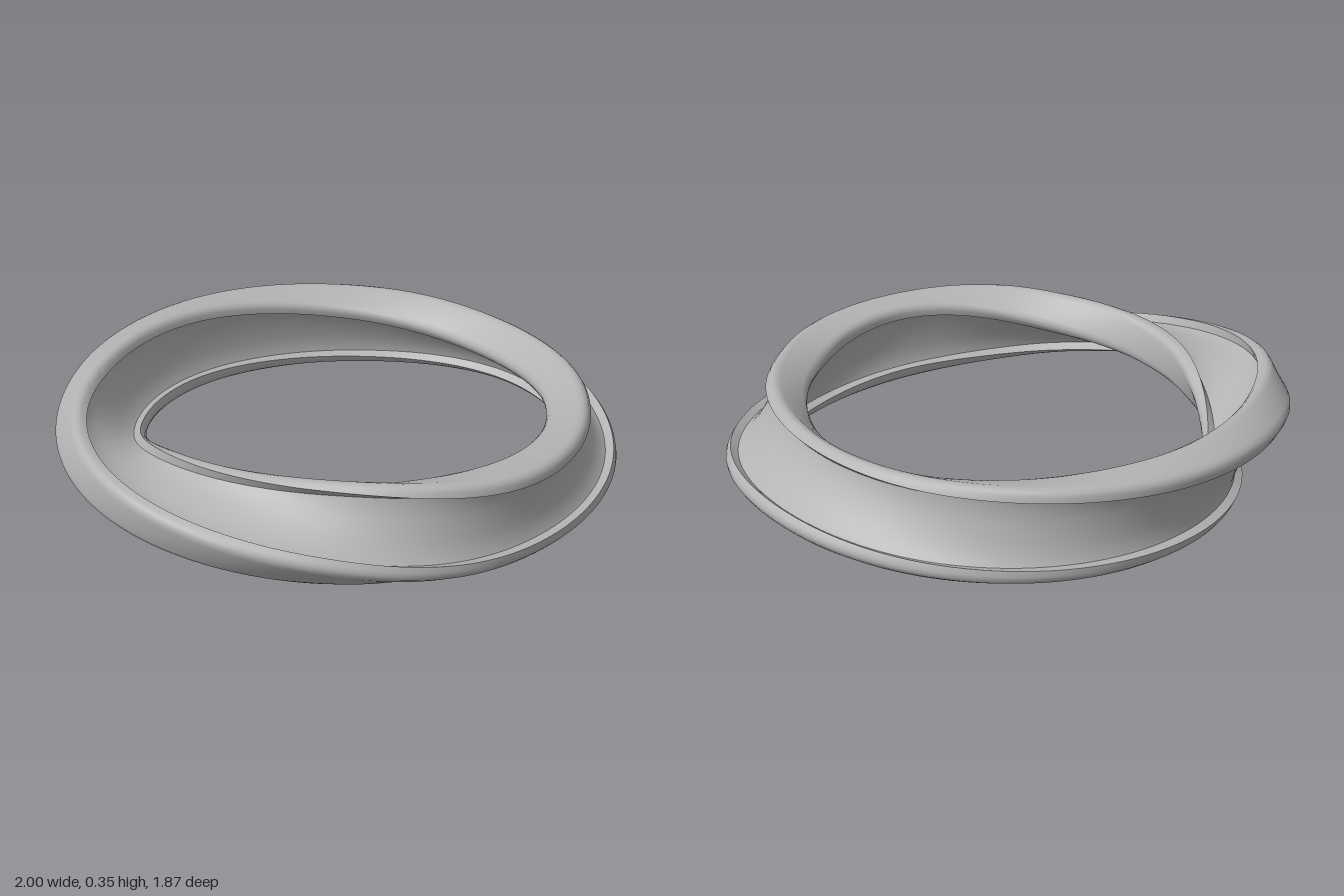
import * as THREE from 'three';
import { toCreasedNormals } from 'three/addons/utils/BufferGeometryUtils.js';

// Ring keys every 45 degrees, from the right side (-x) round by the back:
// centre radius, centre height, section angle in degrees
const KEYS = [
  [0.845, 0.222, 0],
  [0.828, 0.192, 56],
  [0.848, 0.185, 85],
  [0.846, 0.175, 114],
  [0.848, 0.180, 135],
  [0.845, 0.172, 117],
  [0.845, 0.182, 94],
  [0.826, 0.208, 139],
];

// Key lookup that wraps round the ring, adding the half turn of the twist
function key(i, c) {
  const n = KEYS.length;
  const turn = Math.floor(i / n);
  return KEYS[i - turn * n][c] + (c === 2 ? turn * 180 : 0);
}

// Smooth interpolation between the keys
function sample(s, c) {
  const i = Math.floor(s), f = s - i;
  const [a, b, d, e] = [key(i - 1, c), key(i, c), key(i + 1, c), key(i + 2, c)];
  return b + 0.5 * f * (d - a + f * (2 * a - 5 * b + 4 * d - e + f * (3 * (b - d) + e - a)));
}

// I-beam section: one quarter, mirrored to a half, then turned to the whole
function beamSection() {
  const quarter = [
    [0.155, 0], [0.155, 0.045], [0.151, 0.062], [0.141, 0.073], [0.128, 0.077],
    [0.108, 0.077], [0.106, 0.046], [0.085, 0.037], [0.04, 0.030], [0, 0.029],
  ];
  const mirrored = quarter.slice(1, -1).reverse().map(([u, v]) => [-u, v]);
  const half = [...quarter, ...mirrored];
  return [...half, ...half.map(([u, v]) => [-u, -v])];
}

// Sweep the section round the ring while it turns by half a revolution
function twistedRing(steps) {
  const section = beamSection(), m = section.length;
  const positions = [], index = [];
  for (let i = 0; i <= steps; i++) {
    const s = (i / steps) * KEYS.length;
    const t = (i / steps) * Math.PI * 2;
    const radius = sample(s, 0), height = sample(s, 1);
    const angle = THREE.MathUtils.degToRad(sample(s, 2));
    const ca = Math.cos(angle), sa = Math.sin(angle);
    for (const [u, v] of section) {
      const r = radius + u * ca - v * sa;
      positions.push(-r * Math.cos(t), height + u * sa + v * ca, -r * Math.sin(t));
    }
  }
  for (let i = 0; i < steps; i++) {
    for (let j = 0; j < m; j++) {
      const a = i * m + j, b = i * m + (j + 1) % m;
      index.push(a, b, a + m, b, b + m, a + m);
    }
  }
  const geometry = new THREE.BufferGeometry();
  geometry.setAttribute('position', new THREE.Float32BufferAttribute(positions, 3));
  geometry.setIndex(index);
  return toCreasedNormals(geometry, 0.75);
}

export function createModel() {
  const group = new THREE.Group();
  group.name = 'twistedBeamRing';
  const grey = new THREE.MeshStandardMaterial({ color: 0xb3b3b3 });
  grey.name = 'grey';
  const ring = new THREE.Mesh(twistedRing(240), grey);
  ring.name = 'ring';
  group.add(ring);

  // Stand on the ground, centred
  const box = new THREE.Box3().setFromObject(group);
  const centre = box.getCenter(new THREE.Vector3());
  ring.position.set(-centre.x, -box.min.y, -centre.z);
  return group;
}
